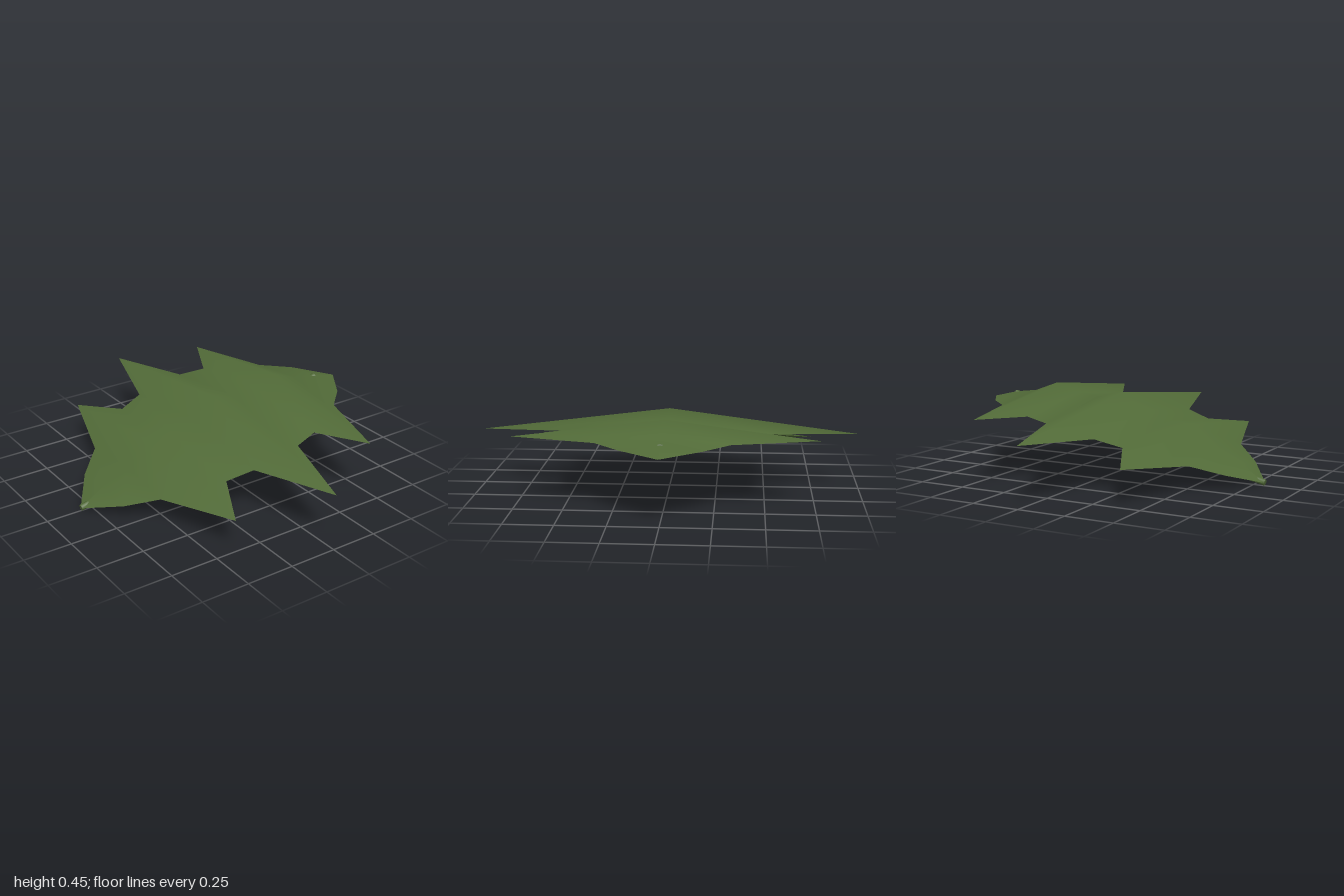
import * as THREE from 'three';

export function createModel() {
  const model = new THREE.Group();
  const leafGreen = new THREE.MeshStandardMaterial({ color: 0x526b38, side: THREE.DoubleSide });
  leafGreen.name = 'leafGreen';

  // Leaf blade: jagged half-widths along its length, folded down from a raised midrib
  const widths = [0, 0.2, 0.33, 0.77, 0.5, 0.54, 1, 0.54, 0.5, 0.77, 0.33, 0.2, 0];
  const halfLength = 0.814;
  const fold = 0.125;
  const arch = (x) => 0.3 + 0.2037 * x - 0.175 * x * x;

  const positions = [];
  const index = [];
  widths.forEach((w, i) => {
    const x = -halfLength + (2 * halfLength * i) / (widths.length - 1);
    const y = arch(x);
    positions.push(x, y, -w, x, y + fold * w, 0, x, y, w);
    if (i === 0) return;
    const b = i * 3;
    const a = b - 3;
    for (const k of [0, 1]) {
      index.push(a + k, a + k + 1, b + k, a + k + 1, b + k + 1, b + k);
    }
  });
  const bladeGeometry = new THREE.BufferGeometry();
  bladeGeometry.setAttribute('position', new THREE.Float32BufferAttribute(positions, 3));
  bladeGeometry.setIndex(index);
  bladeGeometry.computeVertexNormals();
  const blade = new THREE.Mesh(bladeGeometry, leafGreen);
  blade.name = 'leafBlade';
  model.add(blade);

  // Straight stem running under the blade, its tip poking through near the high end
  const start = new THREE.Vector3(-0.812, 0.021, 0);
  const end = new THREE.Vector3(0.677, 0.376, 0);
  const direction = end.clone().sub(start);
  const stem = new THREE.Mesh(
    new THREE.CylinderGeometry(0.0165, 0.0165, direction.length(), 8),
    leafGreen
  );
  stem.name = 'stem';
  stem.position.copy(start).add(end).multiplyScalar(0.5);
  stem.quaternion.setFromUnitVectors(new THREE.Vector3(0, 1, 0), direction.normalize());
  model.add(stem);

  return model;
}
